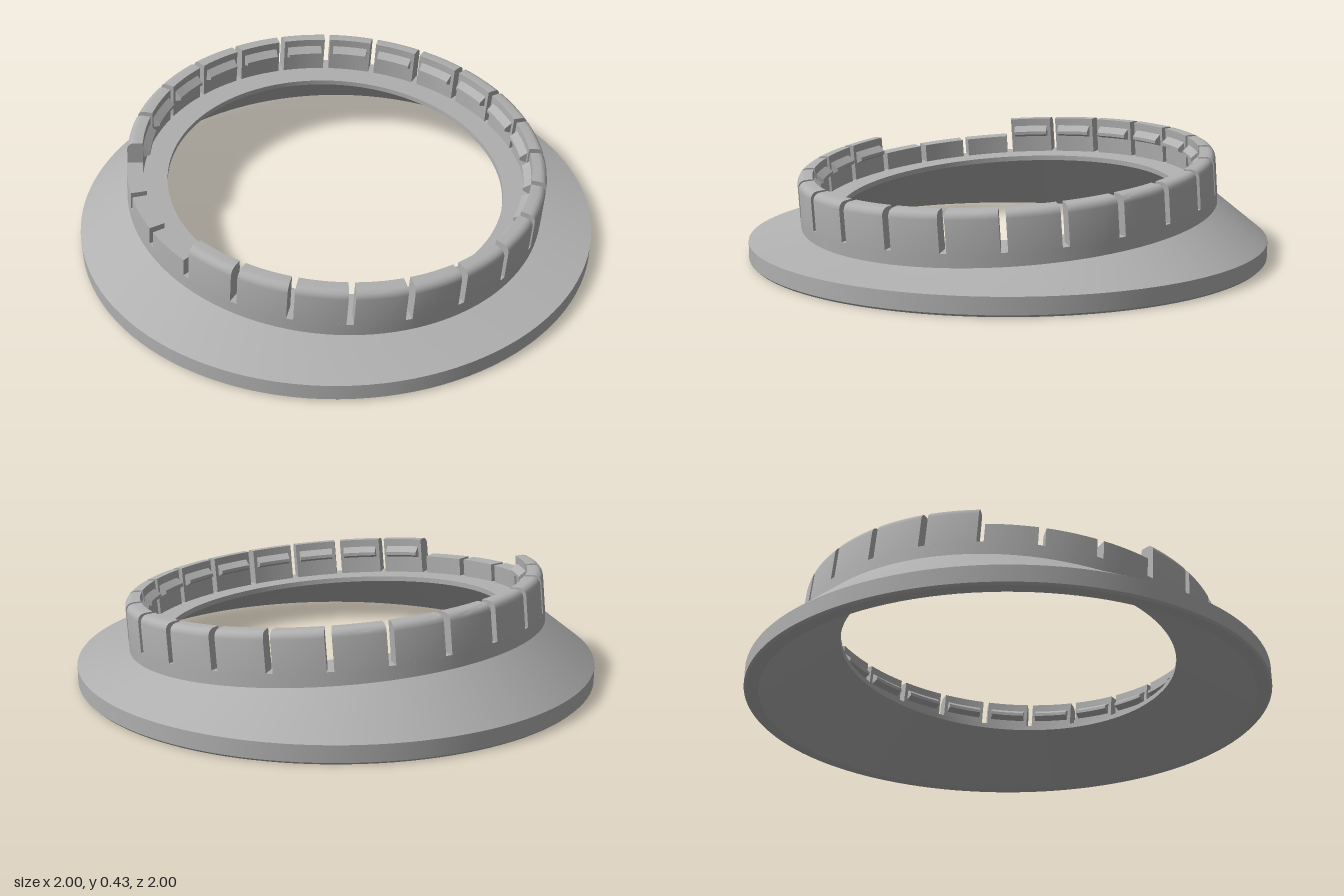
import * as THREE from 'three';
import { toCreasedNormals } from 'three/addons/utils/BufferGeometryUtils.js';

const DEG = Math.PI / 180;
const STEP = 15 * DEG;          // one collar tab plus its slot
const SLOT = 0.9 * DEG;         // half the slot width

// The collar sits on a plane leaning down towards +x
const tilt = new THREE.Matrix4().makeRotationZ(-5 * DEG).setPosition(-0.004, 0.17, 0);

// A ring of given radius and height, level or on the leaning plane
const level = (r, h) => (a) => new THREE.Vector3(r * Math.cos(a), h, r * Math.sin(a));
const leaning = (r, h) => (a) => level(r, h)(a).applyMatrix4(tilt);

// Sweeps a closed profile of rings (outside going up, inside going down) from angle a0 to a1
function sweep(rings, a0, a1, steps, caps) {
  const pos = [];
  const tri = (a, b, c) => [a, b, c].forEach((v) => pos.push(v.x, v.y, v.z));
  const count = rings.length;
  for (let i = 0; i < steps; i++) {
    const a = a0 + ((a1 - a0) * i) / steps;
    const b = a0 + ((a1 - a0) * (i + 1)) / steps;
    for (let j = 0; j < count; j++) {
      const low = rings[j], high = rings[(j + 1) % count];
      tri(low(a), high(a), low(b));
      tri(high(a), high(b), low(b));
    }
  }
  if (caps) {
    for (let j = 1; j < count - 1; j++) {
      tri(rings[0](a0), rings[j + 1](a0), rings[j](a0));
      tri(rings[0](a1), rings[j](a1), rings[j + 1](a1));
    }
  }
  const geo = new THREE.BufferGeometry();
  geo.setAttribute('position', new THREE.Float32BufferAttribute(pos, 3));
  return toCreasedNormals(geo, 0.4);
}

export function createModel() {
  const model = new THREE.Group();
  model.name = 'angledCollarRing';
  const grey = new THREE.MeshStandardMaterial({ color: 0xb0b0b0 });
  grey.name = 'grey';

  const add = (name, parent, geo) => {
    const mesh = new THREE.Mesh(geo, grey);
    mesh.name = name;
    parent.add(mesh);
  };

  // Skirt: level rim with a small bevel, flared wall, low collar wall,
  // ledge level with the slot floors, thin lip and conical hollow underneath
  add('skirt', model, sweep([
    level(0.992, 0), level(1, 0.008), level(1, 0.07),
    leaning(0.806, 0), leaning(0.806, 0.05), leaning(0.745, 0.05),
    leaning(0.652, 0.05), leaning(0.652, 0.03),
    level(0.945, 0),
  ], 0, Math.PI * 2, 120, false));

  // Tab profiles: full height with a rounded outer edge, and cut short
  const tall = [leaning(0.745, 0.05), leaning(0.806, 0.05)];
  for (let k = 0; k <= 4; k++) {
    const t = (k / 4) * Math.PI / 2;
    tall.push(leaning(0.776 + 0.028 * Math.cos(t), 0.167 + 0.028 * Math.sin(t)));
  }
  tall.push(leaning(0.745, 0.195));
  const short = [leaning(0.745, 0.05), leaning(0.806, 0.05), leaning(0.805, 0.122), leaning(0.745, 0.122)];

  // Snap ridge on the inside of each tall tab
  const ridge = [leaning(0.75, 0.115), leaning(0.75, 0.168), leaning(0.718, 0.143), leaning(0.718, 0.13)];

  for (let i = 0; i < 24; i++) {
    const a = i * STEP, b = a + STEP;
    const isShort = i >= 6 && i <= 8;
    const tab = new THREE.Group();
    tab.name = isShort ? 'shortTab' : 'tallTab';
    model.add(tab);
    add('tabWall', tab, sweep(isShort ? short : tall, a + SLOT, b - SLOT, 5, true));
    if (!isShort) add('snapRidge', tab, sweep(ridge, a + 2 * DEG, b - 2 * DEG, 5, true));
  }
  return model;
}
